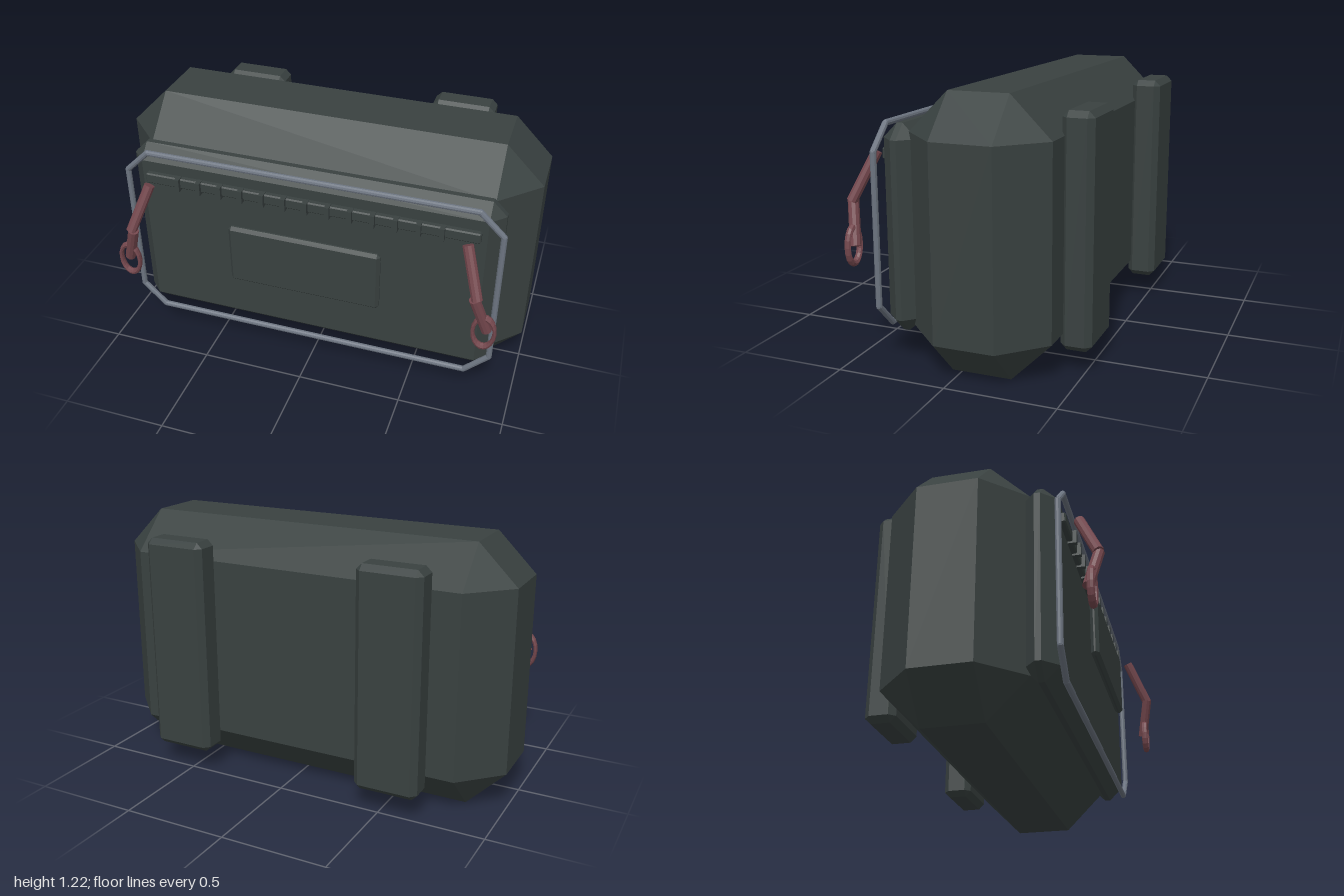
import * as THREE from 'three';
import { ConvexGeometry } from 'three/addons/geometries/ConvexGeometry.js';

const mat = (name, color, flat = true) => {
  const m = new THREE.MeshStandardMaterial({ color, flatShading: flat });
  m.name = name;
  return m;
};

// Box with every edge cut at 45 degrees, given by its min and max corners
function chamferBox(min, max, c) {
  const centre = min.map((v, i) => (v + max[i]) / 2);
  const half = min.map((v, i) => (max[i] - v) / 2);
  const pts = [];
  for (const sx of [-1, 1]) for (const sy of [-1, 1]) for (const sz of [-1, 1]) {
    const s = [sx, sy, sz];
    for (let full = 0; full < 3; full++) {
      pts.push(new THREE.Vector3(...s.map((k, i) => centre[i] + k * (half[i] - (i === full ? 0 : c)))));
    }
  }
  return new ConvexGeometry(pts);
}

// Straight rod between two points
function rod(a, b, radius, material, name) {
  const p = new THREE.Vector3(...a), q = new THREE.Vector3(...b);
  const dir = q.clone().sub(p);
  const mesh = new THREE.Mesh(new THREE.CylinderGeometry(radius, radius, dir.length(), 10), material);
  mesh.position.copy(p).add(q).multiplyScalar(0.5);
  mesh.quaternion.setFromUnitVectors(new THREE.Vector3(0, 1, 0), dir.normalize());
  mesh.name = name;
  return mesh;
}

export function createModel() {
  const model = new THREE.Group();
  model.name = 'bag';
  const fabric = mat('dark fabric', 0x394140);
  const metal = mat('grey piping', 0x6c7480);
  const cord = mat('red cord', 0x74474d);

  const add = (name, geometry, material, parent = model) => {
    const mesh = new THREE.Mesh(geometry, material);
    mesh.name = name;
    parent.add(mesh);
    return mesh;
  };

  // Main bag, front pocket and label plate
  add('body', chamferBox([-1, 0, -0.41], [1, 1.215, 0.225], 0.181), fabric);
  add('frontPocket', chamferBox([-0.88, 0.15, 0.19], [0.88, 1.068, 0.347], 0.065), fabric);
  add('labelPlate', chamferBox([-0.365, 0.468, 0.393], [0.365, 0.775, 0.431], 0.015), fabric);

  // Back straps
  for (const x of [-0.5385, 0.5385]) {
    add('backStrap', chamferBox([x - 0.152, 0.105, -0.535], [x + 0.152, 1.138, -0.394], 0.027), fabric);
  }

  // Piping: closed eight-sided loop in front of the pocket
  const piping = new THREE.Group();
  piping.name = 'piping';
  model.add(piping);
  const loop = [
    [0.885, 0.27], [0.885, 0.95], [0.775, 1.056], [-0.775, 1.056],
    [-0.885, 0.95], [-0.885, 0.27], [-0.775, 0.16], [0.775, 0.16],
  ];
  loop.forEach(([x, y], i) => {
    const [u, v] = loop[(i + 1) % loop.length];
    piping.add(rod([x, y, 0.36], [u, v, 0.36], 0.014, metal, 'pipingRod'));
    const joint = add('pipingJoint', new THREE.SphereGeometry(0.014, 8, 6), metal, piping);
    joint.position.set(x, y, 0.36);
  });

  // Zip: tape with evenly spaced teeth
  const zip = new THREE.Group();
  zip.name = 'zip';
  model.add(zip);
  add('zipTape', chamferBox([-0.79, 0.9, 0.342], [0.79, 0.952, 0.374], 0.006), fabric, zip);
  for (let i = -6; i <= 6; i++) {
    const tooth = add('zipTooth', new THREE.BoxGeometry(0.022, 0.064, 0.04), fabric, zip);
    tooth.position.set(i * 0.104, 0.923, 0.371);
  }

  // Zip pulls: two bent cord lengths ending in an oval ring
  for (const s of [-1, 1]) {
    const pull = new THREE.Group();
    pull.name = s > 0 ? 'leftZipPull' : 'rightZipPull';
    model.add(pull);
    pull.add(rod([s * 0.745, 0.925, 0.424], [s * 0.82, 0.71, 0.514], 0.025, cord, 'upperCord'));
    pull.add(rod([s * 0.808, 0.715, 0.514], [s * 0.87, 0.525, 0.474], 0.025, cord, 'lowerCord'));
    const ring = add('pullRing', new THREE.TorusGeometry(0.081, 0.016, 8, 18), cord, pull);
    ring.scale.x = 0.6;
    ring.position.set(s * 0.86, 0.525, 0.49);
  }
  return model;
}
